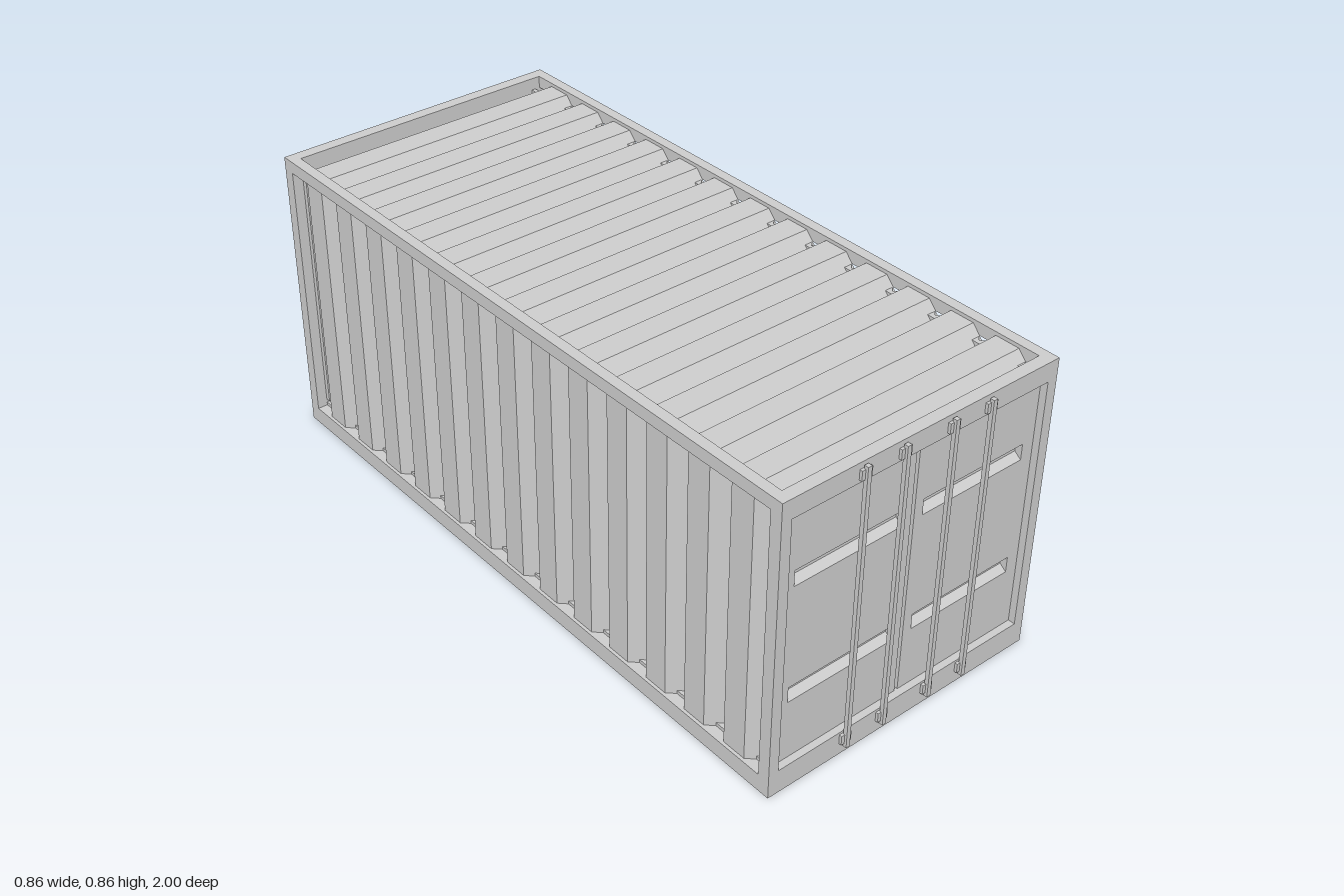
import * as THREE from 'three';

const mat = new THREE.MeshStandardMaterial({ color: 0xcccccc, flatShading: true, side: THREE.DoubleSide });

// Overall half width, height and half length of the frame
const W = 0.43, H = 0.855, L = 0.985;
const RAIL = 0.03, END = 0.035;

function add(parent, name, geometry) {
  const mesh = new THREE.Mesh(geometry, mat);
  mesh.name = name;
  parent.add(mesh);
  return mesh;
}

// Box given by its minimum and maximum on each axis
function box(parent, name, x0, x1, y0, y1, z0, z1) {
  const mesh = add(parent, name, new THREE.BoxGeometry(x1 - x0, y1 - y0, z1 - z0));
  mesh.position.set((x0 + x1) / 2, (y0 + y1) / 2, (z0 + z1) / 2);
  return mesh;
}

// Shape in the z-y plane, extruded across x and centred on x = 0
function extrudeAcross(shape, width) {
  const g = new THREE.ExtrudeGeometry(shape, { depth: width, bevelEnabled: false });
  g.translate(0, 0, -width / 2);
  g.rotateY(-Math.PI / 2);
  return g;
}

// Ribbed sheet with 13 trapezoid ribs along z, ribs pointing up from y = 0
function ribbedSheet(width, depth) {
  const ribs = 13, half = 0.926, pitch = (2 * half) / ribs;
  const s = new THREE.Shape();
  s.moveTo(-0.955, -0.012);
  s.lineTo(0.955, -0.012);
  s.lineTo(0.955, 0);
  for (let i = ribs; i > 0; i--) {
    const z = -half + i * pitch;
    s.lineTo(z, 0);
    s.lineTo(z - pitch * 0.25, depth);
    s.lineTo(z - pitch * 0.75, depth);
  }
  s.lineTo(-half, 0);
  s.lineTo(-0.955, 0);
  return extrudeAcross(s, width);
}

// Door leaf cross-section with two bevelled horizontal grooves
function groovedProfile(zBack, zFace) {
  const s = new THREE.Shape();
  s.moveTo(zBack, 0.07);
  s.lineTo(zFace, 0.07);
  for (const y of [0.245, 0.585]) {
    s.lineTo(zFace, y);
    s.lineTo(zFace - 0.02, y + 0.015);
    s.lineTo(zFace - 0.02, y + 0.031);
    s.lineTo(zFace, y + 0.045);
  }
  s.lineTo(zFace, 0.8);
  s.lineTo(zBack, 0.8);
  return s;
}

// One complete end: frame, two door leaves and four lock rods
function doorEnd(name, flip) {
  const end = new THREE.Group();
  end.name = name;

  const frame = new THREE.Shape();
  frame.moveTo(-W, 0);
  frame.lineTo(W, 0);
  frame.lineTo(W, H);
  frame.lineTo(-W, H);
  const hole = new THREE.Path();
  hole.moveTo(-0.4, 0.07);
  hole.lineTo(-0.4, 0.8);
  hole.lineTo(0.4, 0.8);
  hole.lineTo(0.4, 0.07);
  frame.holes.push(hole);
  const frameGeo = new THREE.ExtrudeGeometry(frame, { depth: END, bevelEnabled: false });
  frameGeo.translate(0, 0, L - END);
  add(end, 'endFrame', frameGeo);

  // Door leaves either side of a narrow dark gap
  const zBack = 0.935, zFace = 0.965;
  for (const side of [-1, 1]) {
    const leaf = new THREE.Group();
    leaf.name = side > 0 ? 'leftDoor' : 'rightDoor';
    const panel = add(leaf, 'groovedPanel', extrudeAcross(groovedProfile(zBack, zFace), 0.33));
    panel.position.x = side * 0.198;
    for (const [a, b] of [[0.005, 0.033], [0.363, 0.4]]) {
      box(leaf, 'doorEdge', Math.min(side * a, side * b), Math.max(side * a, side * b), 0.07, 0.8, zBack, zFace);
    }
    end.add(leaf);
  }
  box(end, 'doorSeal', -0.006, 0.006, 0.07, 0.8, zBack, zBack + 0.008);

  // Lock rods with a bracket at each end
  for (const x0 of [-0.19, -0.07, 0.082, 0.202]) {
    const x = x0 * flip;
    box(end, 'lockRod', x - 0.006, x + 0.006, 0.025, 0.846, 0.988, 1);
    for (const y of [0.049, 0.823]) {
      box(end, 'rodBracket', x - 0.016, x + 0.016, y - 0.014, y + 0.014, L - 0.002, 0.993);
    }
  }
  return end;
}

export function createModel() {
  const model = new THREE.Group();
  model.name = 'shippingContainer';

  // Both ends carry doors
  model.add(doorEnd('frontEnd', 1));
  const back = doorEnd('backEnd', -1);
  back.rotation.y = Math.PI;
  model.add(back);

  // Long rails and ribbed side walls
  const z = L - END;
  for (const s of [-1, 1]) {
    const x0 = s > 0 ? W - RAIL : -W, x1 = x0 + RAIL;
    box(model, 'topRail', x0, x1, 0.82, H, -z, z);
    box(model, 'bottomRail', x0, x1, 0, 0.05, -z, z);

    const wall = add(model, s > 0 ? 'leftWall' : 'rightWall', ribbedSheet(0.77, 0.036));
    wall.rotation.z = -s * Math.PI / 2;
    wall.position.set(s * 0.385, 0.435, 0);
  }

  // Ribbed roof and floor
  const roof = add(model, 'roof', ribbedSheet(0.8, 0.038));
  roof.position.y = 0.807;
  const floor = add(model, 'floor', ribbedSheet(0.8, 0.038));
  floor.rotation.z = Math.PI;
  floor.position.y = 0.048;

  return model;
}
